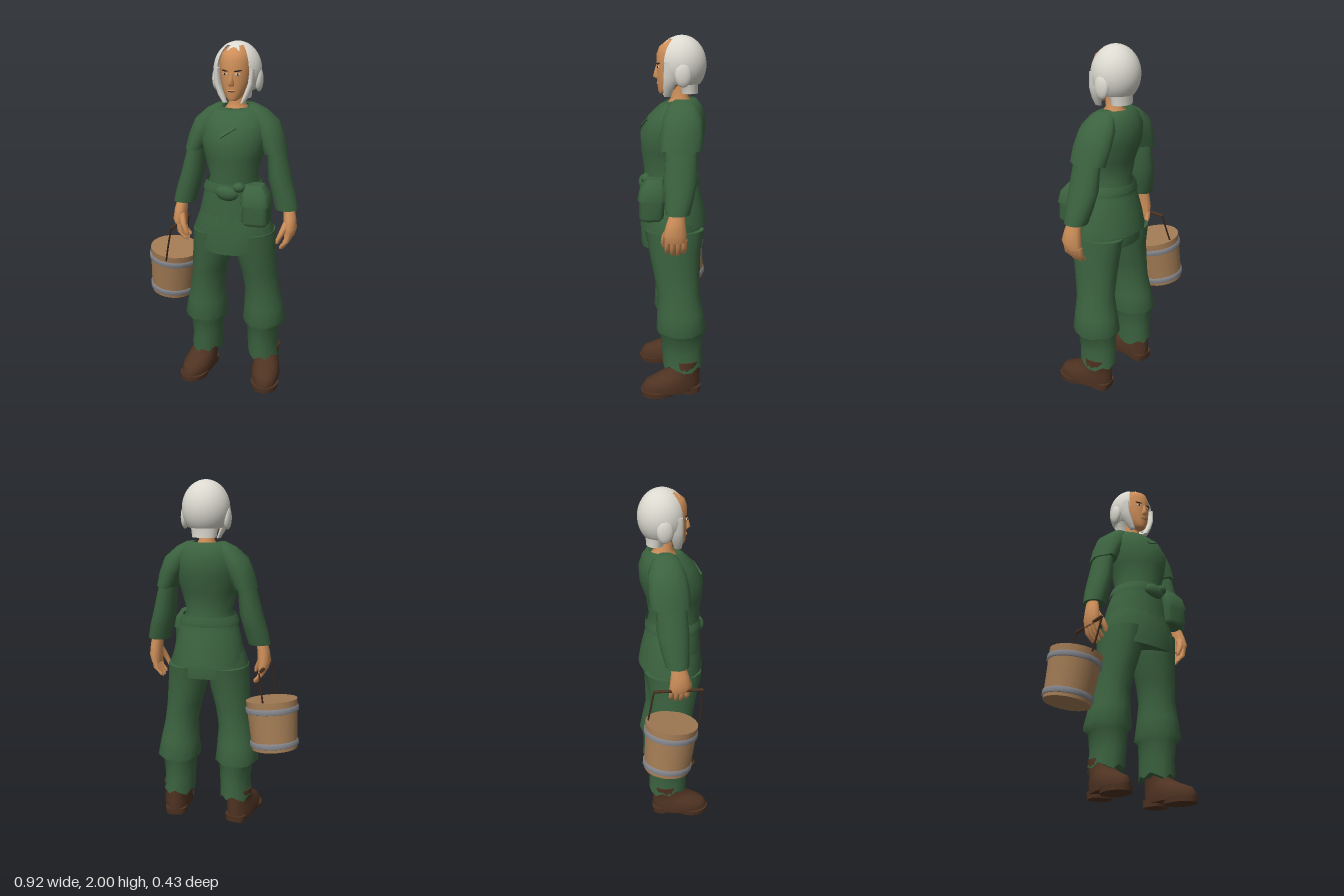
import * as THREE from 'three';

const CX = 0.09; // body midline

const mat = (name, color, side = THREE.FrontSide) => {
  const m = new THREE.MeshStandardMaterial({ color, side });
  m.name = name;
  return m;
};

// Skin over level rings [x, y, z, rx, rz, frontDrop, jag], listed bottom to top
function loft(rings, { seg = 16, power = 2, caps = true } = {}) {
  const pos = [], idx = [];
  const bend = v => Math.sign(v) * Math.abs(v) ** (2 / power);
  const addRing = ([x, y, z, rx, rz, drop = 0, jag = 0]) => {
    for (let j = 0; j < seg; j++) {
      const a = j / seg * Math.PI * 2, s = Math.sin(a);
      const dy = -drop * Math.max(0, s) + jag * ((j * 7) % 5 / 2 - 1);
      pos.push(x + rx * bend(Math.cos(a)), y + dy, z + rz * bend(s));
    }
  };
  rings.forEach(addRing);
  for (let i = 0; i < rings.length - 1; i++) {
    for (let j = 0; j < seg; j++) {
      const a = i * seg + j, b = i * seg + (j + 1) % seg, c = a + seg, d = b + seg;
      idx.push(a, c, b, b, c, d);
    }
  }
  if (caps) [[rings[0], false], [rings[rings.length - 1], true]].forEach(([r, top]) => {
    const start = pos.length / 3;
    addRing(r);
    pos.push(r[0], r[1] - (r[5] || 0) * 0.3, r[2]);
    for (let j = 0; j < seg; j++) {
      const p = start + j, q = start + (j + 1) % seg;
      idx.push(start + seg, top ? q : p, top ? p : q);
    }
  });
  const g = new THREE.BufferGeometry();
  g.setAttribute('position', new THREE.Float32BufferAttribute(pos, 3));
  g.setIndex(idx);
  g.computeVertexNormals();
  return g;
}

export function createModel() {
  const cloth = mat('green cloth', 0x3b623f, THREE.DoubleSide);
  const skin = mat('skin', 0xd0905a);
  const hair = mat('white hair', 0xdcdad0, THREE.DoubleSide);
  const leather = mat('brown leather', 0x4f3322);
  const wood = mat('wood', 0xa37c55);
  const metal = mat('grey metal', 0x84868c, THREE.DoubleSide);
  const dark = mat('dark brown', 0x3a261a);

  const root = new THREE.Group();
  root.name = 'bucketCarrier';
  const add = (name, geo, material, parent = root) => {
    const m = new THREE.Mesh(geo, material);
    m.name = name;
    parent.add(m);
    return m;
  };
  const ball = (name, p, r, material) => {
    const m = add(name, new THREE.SphereGeometry(1, 14, 10), material);
    m.position.set(...p);
    m.scale.set(...r);
    return m;
  };
  const tube = (name, pts, r, material, seg = 8) => add(name, new THREE.TubeGeometry(
    new THREE.CatmullRomCurve3(pts.map(p => new THREE.Vector3(...p))), seg, r, 6), material);

  // Tunic body and the longer undershirt below it
  add('tunic', loft([
    [CX, 0.965, 0.005, 0.215, 0.185, 0, 0.006], [CX, 1.06, 0.01, 0.2, 0.175],
    [CX, 1.16, 0.02, 0.175, 0.16], [CX, 1.27, 0.03, 0.132, 0.145],
    [CX, 1.38, 0.03, 0.165, 0.16], [CX, 1.48, 0.015, 0.19, 0.18],
    [CX, 1.57, -0.01, 0.185, 0.158], [CX, 1.63, -0.03, 0.15, 0.115],
    [CX, 1.665, -0.03, 0.105, 0.085, 0.02], [CX, 1.655, -0.03, 0.072, 0.075, 0.04],
  ], { seg: 22, caps: false }), cloth);
  add('undershirt', loft([
    [CX, 0.89, 0.02, 0.225, 0.172, 0.055], [CX, 0.96, 0.02, 0.235, 0.178], [CX, 1.08, 0.02, 0.19, 0.16],
  ], { seg: 20 }), cloth);
  add('belt', loft([
    [CX, 1.19, 0.025, 0.175, 0.163], [CX, 1.21, 0.025, 0.172, 0.165], [CX, 1.245, 0.025, 0.155, 0.158],
  ], { seg: 20, caps: false }), cloth);
  const flap = add('chestFold', new THREE.BoxGeometry(0.1, 0.022, 0.008), cloth);
  flap.position.set(CX, 1.535, 0.168);
  flap.rotation.set(-0.6, 0, 0.65);

  // Belt pouches
  add('largePouch', loft([
    [0.25, 1.02, 0.14, 0.06, 0.05], [0.25, 1.04, 0.14, 0.077, 0.068],
    [0.25, 1.13, 0.135, 0.074, 0.07], [0.25, 1.135, 0.135, 0.082, 0.08],
    [0.245, 1.2, 0.13, 0.074, 0.07], [0.235, 1.245, 0.12, 0.05, 0.045],
  ], { power: 4 }), cloth);
  ball('smallPouch', [0.09, 1.195, 0.175], [0.065, 0.042, 0.032], cloth).rotation.z = -0.15;
  ball('beltKnot', [0.155, 1.23, 0.165], [0.035, 0.028, 0.03], cloth);

  for (const s of [-1, 1]) {
    const side = s > 0 ? 'left' : 'right';
    // Rings measured outward from the midline
    const limb = (name, rings, material, opts) =>
      add(side + name, loft(rings.map(([d, ...r]) => [CX + s * d, ...r]), opts), material);

    limb('ShoulderSleeve', [
      [0.228, 1.405, -0.02, 0.066, 0.11, 0, 0.006], [0.195, 1.49, -0.025, 0.078, 0.115],
      [0.155, 1.575, -0.03, 0.085, 0.105], [0.115, 1.635, -0.03, 0.055, 0.075],
      [0.09, 1.662, -0.03, 0.025, 0.04],
    ], cloth, { seg: 14 });
    limb('LowerSleeve', [
      [0.303, 1.085, 0.005, 0.066, 0.066], [0.282, 1.17, -0.005, 0.068, 0.08],
      [0.257, 1.26, -0.012, 0.066, 0.09], [0.228, 1.44, -0.02, 0.048, 0.085],
    ], cloth, { seg: 14 });

    // Hand with curled fingers and thumb
    limb('Hand', [
      [0.325, 0.935, 0.015, 0.03, 0.056], [0.33, 0.98, 0.02, 0.038, 0.062],
      [0.325, 1.04, 0.015, 0.036, 0.05], [0.315, 1.11, 0.005, 0.03, 0.035],
    ], skin, { seg: 12 });
    for (let f = 0; f < 4; f++) {
      const z = -0.03 + f * 0.03, tip = 0.862 - (f === 1 || f === 2 ? 0.012 : 0);
      limb('Finger' + (f + 1), [
        [0.285, tip, z, 0.007, 0.008], [0.292, tip + 0.015, z, 0.014, 0.013],
        [0.318, 0.905, z, 0.017, 0.015], [0.325, 0.95, z, 0.018, 0.016],
      ], skin, { seg: 8 });
    }
    limb('Thumb', [
      [0.268, 0.895, 0.075, 0.008, 0.01], [0.275, 0.92, 0.078, 0.015, 0.016],
      [0.295, 0.965, 0.07, 0.018, 0.02], [0.315, 1.02, 0.04, 0.02, 0.024],
    ], skin, { seg: 8 });

    // Trouser leg, bloused at the knee with a ragged cuff
    limb('TrouserLeg', [
      [0.178, 0.155, -0.035, 0.094, 0.115, 0, 0.018], [0.172, 0.25, -0.03, 0.09, 0.115],
      [0.176, 0.355, -0.025, 0.1, 0.122], [0.18, 0.38, -0.025, 0.13, 0.142, 0, 0.008],
      [0.175, 0.48, -0.018, 0.114, 0.13], [0.166, 0.59, -0.01, 0.099, 0.117],
      [0.15, 0.7, 0, 0.102, 0.13], [0.128, 0.83, 0.01, 0.117, 0.145],
      [0.12, 0.95, 0.01, 0.118, 0.165],
    ], cloth, { seg: 16 });

    // Boot, toes turned slightly out
    const boot = new THREE.Group();
    boot.name = side + 'Boot';
    boot.position.set(CX + s * 0.2, 0, -0.02);
    boot.rotation.y = s * 0.16;
    root.add(boot);
    add('toeSole', loft([[0, 0, 0.13, 0.078, 0.1], [0, 0.03, 0.13, 0.083, 0.104]]), leather, boot);
    add('heel', loft([[0, 0, -0.05, 0.062, 0.058], [0, 0.04, -0.05, 0.066, 0.064]], { power: 3 }), leather, boot);
    add('upper', loft([
      [0, 0.018, 0.055, 0.08, 0.168], [0, 0.05, 0.058, 0.085, 0.17], [0, 0.085, 0.045, 0.082, 0.158],
      [0, 0.115, 0.01, 0.074, 0.12], [0, 0.145, -0.02, 0.072, 0.09], [0, 0.2, -0.028, 0.078, 0.082],
    ], { seg: 18 }), leather, boot);

    // Eye, brow and ear-side hair coil
    const eye = ball(side + 'Eye', [CX + s * 0.036, 1.833, 0.094], [0.015, 0.006, 0.004], hair);
    eye.rotation.y = s * 0.35;
    ball(side + 'Pupil', [CX + s * 0.036, 1.833, 0.097], [0.006, 0.006, 0.003], dark);
    const brow = ball(side + 'Brow', [CX + s * 0.037, 1.851, 0.094], [0.022, 0.004, 0.005], dark);
    brow.rotation.set(0, s * 0.4, s * 0.12);
    ball(side + 'HairCoil', [CX + s * 0.122, 1.795, -0.035], [0.022, 0.065, 0.045], hair);
    limb('SideLock', [
      [0.05, 1.675, 0.045, 0.012, 0.02], [0.073, 1.72, 0.04, 0.018, 0.03],
      [0.095, 1.78, 0.03, 0.018, 0.04], [0.1, 1.86, 0.03, 0.014, 0.035],
    ], hair, { seg: 10 });
  }

  // Neck and head
  add('neck', loft([
    [CX, 1.6, -0.03, 0.08, 0.085], [CX, 1.64, -0.03, 0.068, 0.07],
    [CX, 1.67, -0.025, 0.045, 0.048], [CX, 1.76, -0.02, 0.045, 0.05],
  ]), skin);
  add('face', loft([
    [CX, 1.69, 0.06, 0.024, 0.026], [CX, 1.705, 0.045, 0.042, 0.048], [CX, 1.745, 0.025, 0.064, 0.073],
    [CX, 1.79, 0.01, 0.079, 0.09], [CX, 1.84, 0, 0.086, 0.102], [CX, 1.9, -0.005, 0.088, 0.106],
    [CX, 1.94, -0.008, 0.076, 0.094], [CX, 1.97, -0.012, 0.048, 0.06], [CX, 1.985, -0.015, 0.015, 0.02],
  ], { seg: 20 }), skin);
  add('nose', loft([
    [CX, 1.77, 0.095, 0.014, 0.01], [CX, 1.782, 0.1, 0.018, 0.022],
    [CX, 1.81, 0.097, 0.01, 0.017], [CX, 1.845, 0.093, 0.007, 0.01],
  ], { seg: 10 }), skin);
  ball('lips', [CX, 1.744, 0.095], [0.024, 0.007, 0.007], skin);
  ball('mouthLine', [CX, 1.744, 0.1], [0.02, 0.0015, 0.003], dark);

  // Hair shell, open over the face, with a crown and a forelock
  const shell = (name, phi, phiLen, theta, thetaLen, k = 1) => {
    const m = add(name, new THREE.SphereGeometry(1, 28, 14, phi, phiLen, theta, thetaLen), hair);
    m.position.set(CX, 1.845, -0.035);
    m.scale.set(0.134 * k, 0.155 * k, 0.135 * k);
  };
  shell('hairSides', Math.PI / 2 + 0.73, Math.PI * 2 - 1.46, 0.4, 1.9);
  shell('hairCrown', 0, Math.PI * 2, 0, 0.52);
  shell('forelock', Math.PI / 2 - 0.36, 0.72, 0.45, 0.5, 1.01);
  add('napeHair', loft([
    [CX, 1.69, -0.075, 0.07, 0.05], [CX, 1.73, -0.07, 0.075, 0.055], [CX, 1.76, -0.06, 0.085, 0.07],
  ]), hair);

  // Bucket hanging tilted from the right hand
  const bottom = new THREE.Vector3(-0.327, 0.485, -0.073), top = new THREE.Vector3(-0.297, 0.77, -0.038);
  const axis = top.clone().sub(bottom);
  const h = axis.length();
  const bucket = new THREE.Group();
  bucket.name = 'bucket';
  bucket.position.copy(bottom);
  bucket.quaternion.setFromUnitVectors(new THREE.Vector3(0, 1, 0), axis.normalize());
  root.add(bucket);
  const radius = y => 0.132 + 0.018 * y / h;
  add('staves', new THREE.CylinderGeometry(radius(h), radius(0), h, 22), wood, bucket).position.y = h / 2;
  for (const y of [0.035, 0.235]) {
    const profile = [[0, -0.017], [0.008, -0.013], [0.008, 0.013], [0, 0.017]]
      .map(([r, dy]) => new THREE.Vector2(radius(y) + r, y + dy));
    add('hoop', new THREE.LatheGeometry(profile, 22), metal, bucket);
  }

  // Bail rods and wooden grip
  tube('frontBailRod', [[-0.3, 0.73, 0.115], [-0.28, 0.83, 0.13], [-0.255, 0.945, 0.14]], 0.005, dark);
  tube('backBailRod', [[-0.28, 0.74, -0.18], [-0.26, 0.84, -0.155], [-0.24, 0.945, -0.13]], 0.005, dark);
  tube('bucketGrip', [[-0.255, 0.945, 0.145], [-0.24, 0.945, -0.135]], 0.01, leather, 2);

  return root;
}
